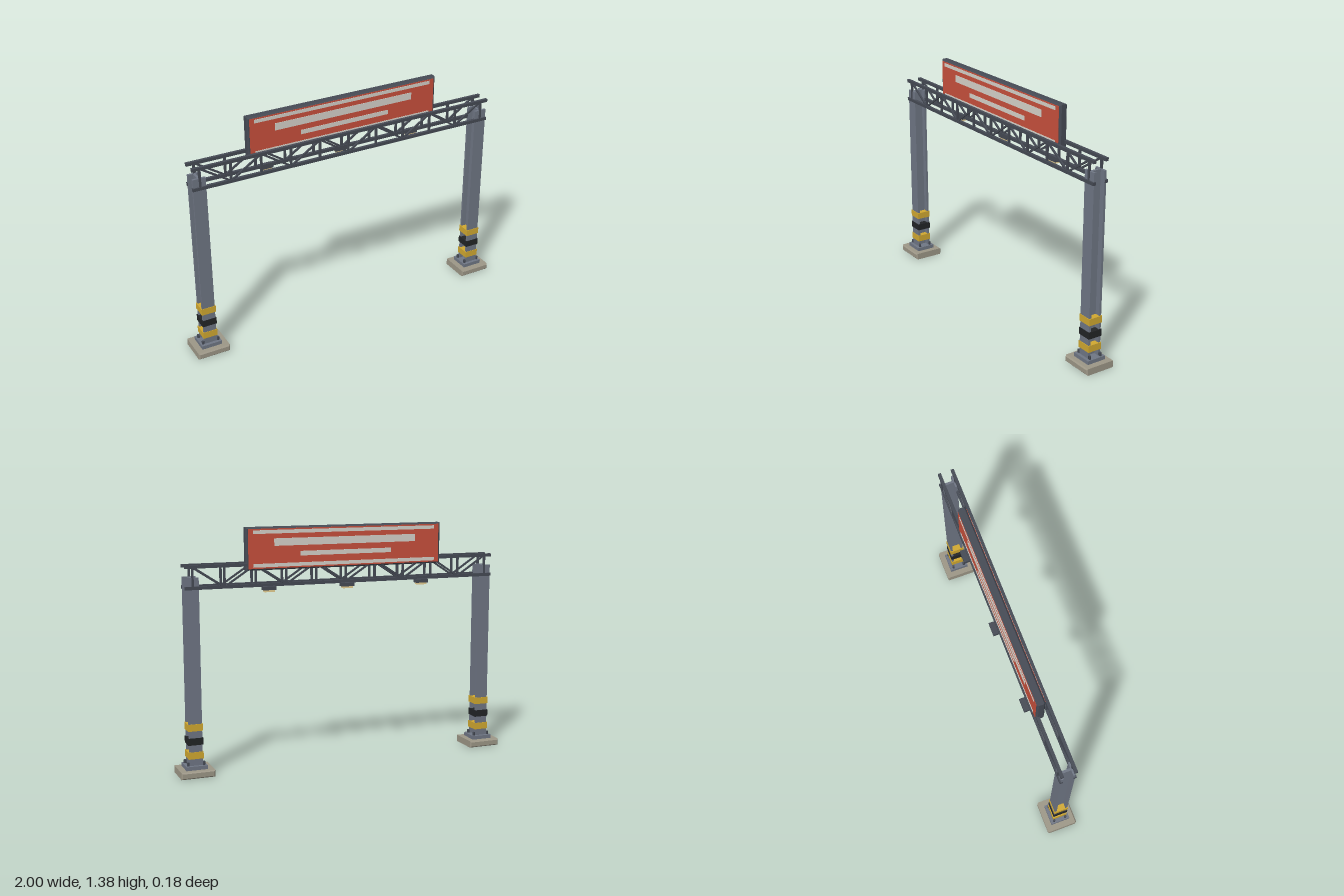
import * as THREE from 'three';

const mat = (name, color) => {
  const m = new THREE.MeshStandardMaterial({ color });
  m.name = name;
  return m;
};

export function createModel() {
  const steel = mat('column steel', 0x6f7684);
  const dark = mat('dark steel', 0x454a54);
  const concrete = mat('concrete', 0x9c9686);
  const yellow = mat('hazard yellow', 0xd0a830);
  const black = mat('hazard black', 0x222426);
  const red = mat('sign red', 0xc8503c);
  const pale = mat('sign stripe', 0xd6d2ca);
  const lens = mat('lamp lens', 0xe6cf92);

  const root = new THREE.Group();
  root.name = 'overheadSignGantry';

  const add = (parent, name, geo, material, x = 0, y = 0, z = 0) => {
    const m = new THREE.Mesh(geo, material);
    m.name = name;
    m.position.set(x, y, z);
    parent.add(m);
    return m;
  };
  const box = (parent, name, material, w, h, d, x, y, z) =>
    add(parent, name, new THREE.BoxGeometry(w, h, d), material, x, y, z);

  // Box with chamfered edges, centred on its origin
  const chamferBox = (w, h, d, c) => {
    const a = w / 2 - c, b = h / 2 - c;
    const s = new THREE.Shape([[-a, -b], [a, -b], [a, b], [-a, b]].map(p => new THREE.Vector2(...p)));
    const g = new THREE.ExtrudeGeometry(s, {
      depth: d - 2 * c, bevelEnabled: true, bevelSegments: 1, bevelSize: c, bevelThickness: c,
    });
    return g.translate(0, 0, c - d / 2);
  };

  // Columns: footing, base plate, bolts, H-section and hazard bands
  for (const side of [-1, 1]) {
    const col = new THREE.Group();
    col.name = side > 0 ? 'leftColumn' : 'rightColumn';
    col.position.x = side * 0.903;
    root.add(col);
    add(col, 'footing', chamferBox(0.194, 0.04, 0.184, 0.007), concrete, 0, 0.02, 0);
    box(col, 'basePlate', steel, 0.122, 0.022, 0.116, 0, 0.051, 0);
    box(col, 'web', steel, 0.014, 1.06, 0.06, 0, 0.59, 0);
    for (const s of [-1, 1]) {
      box(col, 'flange', steel, 0.076, 1.06, 0.013, 0, 0.59, s * 0.0335);
      for (const t of [-1, 1])
        add(col, 'bolt', new THREE.CylinderGeometry(0.008, 0.008, 0.02, 6), dark, s * 0.046, 0.072, t * 0.036);
    }
    [yellow, black, yellow].forEach((m, i) =>
      box(col, 'hazardBand', m, 0.086, 0.04, 0.086, 0, 0.12 + i * 0.08, 0));
  }

  // Two parallel trusses with posts and zigzag diagonals
  const yLow = 1.062, yHigh = 1.179, bay = 0.18;
  for (const s of [-1, 1]) {
    const truss = new THREE.Group();
    truss.name = s > 0 ? 'frontTruss' : 'rearTruss';
    truss.position.z = s * 0.039;
    root.add(truss);
    box(truss, 'topChord', dark, 1.888, 0.018, 0.018, 0, yHigh, 0);
    box(truss, 'bottomChord', dark, 1.888, 0.018, 0.018, 0, yLow, 0);
    const rise = yHigh - yLow;
    for (let i = 0; i <= 10; i++) {
      const x = (i - 5) * bay;
      box(truss, 'post', dark, 0.012, rise, 0.012, x, (yLow + yHigh) / 2, 0);
      if (i === 10) continue;
      const d = box(truss, 'diagonal', dark, Math.hypot(bay, rise), 0.01, 0.01,
        x + bay / 2, (yLow + yHigh) / 2, 0);
      d.rotation.z = (i % 2 ? 1 : -1) * Math.atan2(rise, bay);
    }
  }

  // Sign: chamfered cabinet with a painted face on both sides
  const sign = new THREE.Group();
  sign.name = 'sign';
  sign.position.set(0, 1.265, -0.024);
  root.add(sign);
  add(sign, 'signCabinet', chamferBox(1.194, 0.24, 0.048, 0.009), dark);
  const stripes = [[1.112, 0.02, 0.093], [0.866, 0.042, 0.035], [0.556, 0.026, -0.032], [1.112, 0.02, -0.093]];
  for (const s of [-1, 1]) {
    box(sign, 'signFace', red, 1.168, 0.222, 0.004, 0, 0, s * 0.024);
    for (const [w, h, y] of stripes)
      box(sign, 'signStripe', pale, w, h, 0.004, 0, y, s * 0.026);
  }

  // Lamps under the rear truss
  for (const x of [-0.47, 0, 0.47]) {
    const lamp = new THREE.Group();
    lamp.name = 'lamp';
    lamp.position.set(x, 0, -0.059);
    root.add(lamp);
    box(lamp, 'lampHousing', dark, 0.076, 0.02, 0.04, 0, 1.046, 0);
    box(lamp, 'lampLens', lens, 0.06, 0.012, 0.032, 0, 1.031, 0);
  }
  return root;
}
